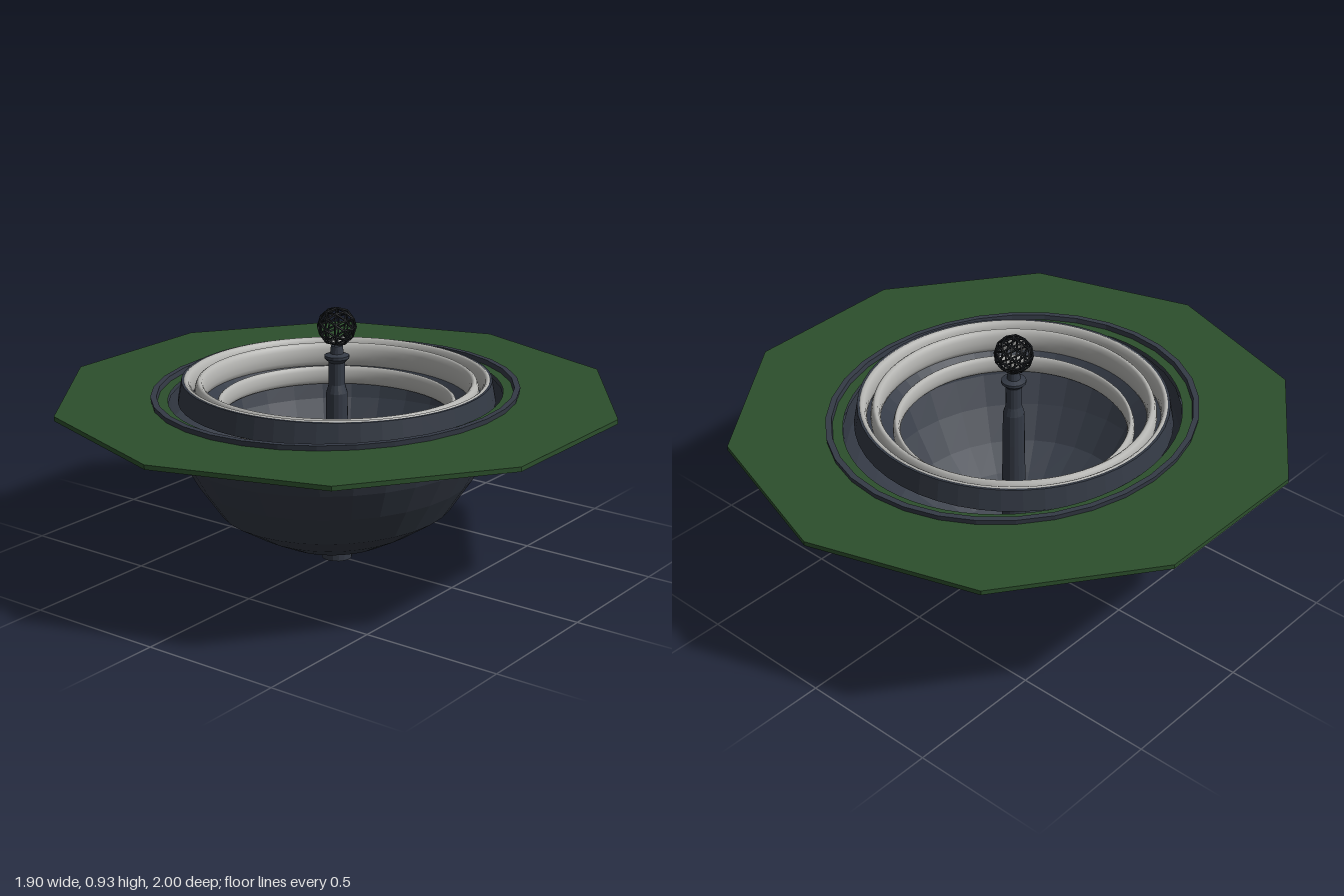
import * as THREE from 'three';
import { mergeGeometries } from 'three/addons/utils/BufferGeometryUtils.js';

function material(name, color, extra = {}) {
  const m = new THREE.MeshStandardMaterial({ color, ...extra });
  m.name = name;
  return m;
}

export function createModel() {
  const model = new THREE.Group();
  model.name = 'fountain';
  const slate = material('slate', 0x343a45, { flatShading: true, side: THREE.DoubleSide });
  const green = material('green', 0x2c4f2c, { flatShading: true });
  const white = material('paleStone', 0xb8b8b5);
  const black = material('blackMetal', 0x191c20);

  function add(name, geometry, mat) {
    const mesh = new THREE.Mesh(geometry, mat);
    mesh.name = name;
    model.add(mesh);
    return mesh;
  }
  const lathe = (points, sides) =>
    new THREE.LatheGeometry(points.map(([r, y]) => new THREE.Vector2(r, y)), sides);

  // Ten-sided lawn plate with an oval opening
  const plate = new THREE.Shape();
  for (let i = 0; i < 10; i++) {
    const a = (i * Math.PI) / 5;
    plate[i ? 'lineTo' : 'moveTo'](Math.sin(a), Math.cos(a));
  }
  plate.closePath();
  const opening = new THREE.Path();
  opening.absellipse(0, 0, 0.568, 0.625, 0, Math.PI * 2, true);
  plate.holes.push(opening);
  const plateGeometry = new THREE.ExtrudeGeometry(plate, { depth: 0.016, bevelEnabled: false, curveSegments: 32 });
  plateGeometry.rotateX(-Math.PI / 2).translate(0, 0.604, 0);
  add('lawnPlate', plateGeometry, green);

  // Oval bowl, stepping out to a thin upright rim
  const bowl = add('bowl', lathe([
    [0, 0.05], [0.11, 0.05], [0.2, 0.085], [0.3, 0.14], [0.405, 0.21],
    [0.48, 0.325], [0.535, 0.43], [0.565, 0.52], [0.57, 0.606],
  ], 32), slate);
  const rim = add('rim', lathe([
    [0.565, 0.52], [0.612, 0.52], [0.627, 0.638], [0.607, 0.638], [0.603, 0.61],
  ], 32), slate);
  bowl.scale.z = rim.scale.z = 1.095;

  // Drain foot
  add('foot', new THREE.CylinderGeometry(0.055, 0.055, 0.06, 16).translate(0, 0.03, 0), slate);

  // Round inner basin that carries the stone rings
  add('innerBasin', lathe([
    [0.41, 0.53], [0.485, 0.59], [0.56, 0.6], [0.546, 0.676], [0.536, 0.676],
  ], 48), slate);

  // Tall oval-section stone rings: radius, height, tube width, tube height
  [[0.531, 0.634, 0.018, 0.046], [0.483, 0.625, 0.018, 0.046], [0.412, 0.565, 0.013, 0.035]]
    .forEach(([radius, y, width, height], i) => {
      const ring = new THREE.TorusGeometry(radius, width, 12, 72);
      ring.rotateX(Math.PI / 2).scale(1, height / width, 1).translate(0, y, 0);
      add('stoneRing' + (i + 1), ring, white);
    });

  // Central stem with collar
  add('stem', lathe([
    [0.045, 0.05], [0.04, 0.5], [0.038, 0.62], [0.029, 0.65], [0.029, 0.73], [0.044, 0.745],
    [0.044, 0.755], [0.024, 0.762], [0.021, 0.79], [0, 0.79],
  ], 16), slate);

  // Open lattice ball made of struts
  const edges = new THREE.EdgesGeometry(new THREE.IcosahedronGeometry(0.067, 1), 1).attributes.position;
  const struts = [];
  for (let i = 0; i < edges.count; i += 2) {
    const a = new THREE.Vector3().fromBufferAttribute(edges, i);
    const b = new THREE.Vector3().fromBufferAttribute(edges, i + 1);
    struts.push(new THREE.TubeGeometry(new THREE.LineCurve3(a, b), 1, 0.0035, 5));
  }
  add('latticeBall', mergeGeometries(struts), black).position.y = 0.858;

  return model;
}
